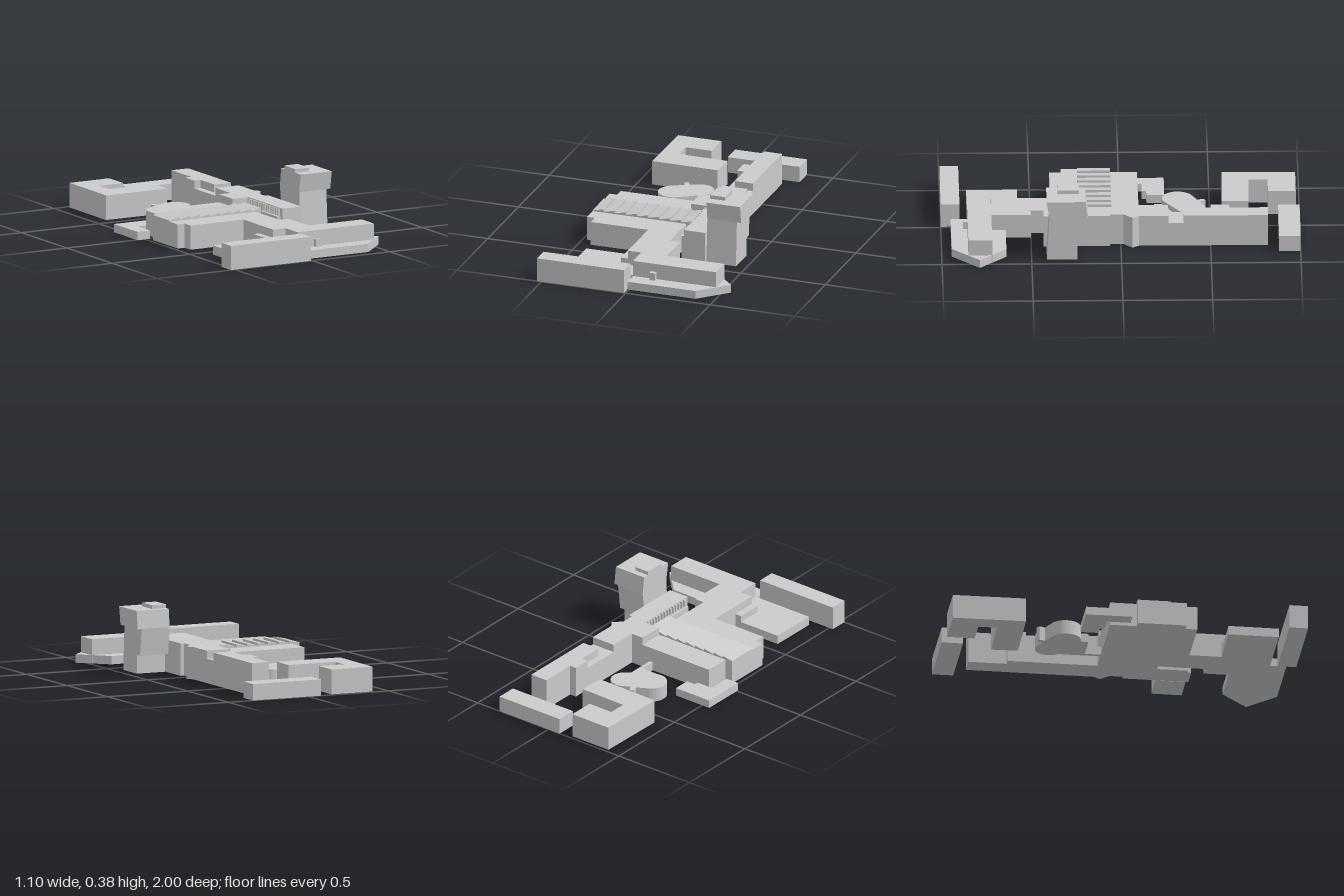
import * as THREE from 'three';

const material = new THREE.MeshStandardMaterial({ color: 0xcccccc, flatShading: true });

export function createModel() {
  const root = new THREE.Group();
  root.name = 'campus';

  function add(name, geometry) {
    const mesh = new THREE.Mesh(geometry, material);
    mesh.name = name;
    root.add(mesh);
    return mesh;
  }

  // Box given by its plan rectangle and vertical range
  function block(name, x0, x1, z0, z1, top, bottom = 0) {
    const g = new THREE.BoxGeometry(x1 - x0, top - bottom, z1 - z0);
    g.translate((x0 + x1) / 2, (top + bottom) / 2, (z0 + z1) / 2);
    return add(name, g);
  }

  // Vertical prism over a plan outline of [x, z] points
  function prism(name, plan, top, bottom = 0) {
    const shape = new THREE.Shape(plan.map(([x, z]) => new THREE.Vector2(x, -z)));
    const g = new THREE.ExtrudeGeometry(shape, { depth: top - bottom, bevelEnabled: false });
    g.rotateX(-Math.PI / 2).translate(0, bottom, 0);
    return add(name, g);
  }

  // Sideways prism from a [z, y] profile, running from x0 to x1
  function sideProfile(name, profile, x0, x1) {
    const shape = new THREE.Shape(profile.map(([z, y]) => new THREE.Vector2(-z, y)));
    const g = new THREE.ExtrudeGeometry(shape, { depth: x1 - x0, bevelEnabled: false });
    g.rotateY(Math.PI / 2).translate(x0, 0, 0);
    return add(name, g);
  }

  const H = 0.137; // common roof height
  const T = 0.182; // taller wing height
  const L = 0.047; // low annex height

  // Detached buildings at the back
  prism('courtyardBuilding', [
    [-0.41, -0.98], [-0.155, -0.98], [-0.155, -0.825], [-0.31, -0.825],
    [-0.31, -0.72], [-0.02, -0.715], [-0.025, -0.565], [-0.415, -0.57],
  ], 0.14);
  block('backBar', -0.08, 0.345, -1, -0.88, 0.092);

  // Long back wing with its lower link and side notch
  prism('backWing', [
    [0.155, -0.82], [0.262, -0.82], [0.262, -0.35], [0.155, -0.35],
    [0.155, -0.5], [0.115, -0.5], [0.115, -0.605], [0.155, -0.605],
  ], T);
  block('backWingStep', 0.115, 0.155, -0.5, -0.35, H);
  block('backWingLink', 0.115, 0.262, -0.35, -0.265, H);

  // Tall spine with a pointed bay on its left side
  prism('spine', [
    [0.115, -0.265], [0.262, -0.265], [0.262, -0.1], [0.288, -0.065], [0.24, -0.015],
    [0.24, 0.06], [0.262, 0.06], [0.262, 0.43], [0.14, 0.43], [0.14, 0.05],
    [0.04, 0.05], [0.04, -0.1], [0.115, -0.1],
  ], T);
  block('spineGallery', 0.115, 0.14, 0.05, 0.41, H);
  for (let i = 0; i < 14; i++) {
    const z = 0.065 + i * 0.025;
    block('spineFin', 0.128, 0.141, z, z + 0.012, T - 0.004, H);
  }

  // Main hall and the connector running forward
  prism('hall', [
    [-0.43, -0.1], [0.115, -0.1], [0.115, 0.235], [0.08, 0.235], [0.08, 0.5],
    [0.14, 0.5], [0.14, 0.72], [-0.09, 0.72], [-0.09, 0.39], [-0.43, 0.39],
    [-0.43, 0.325], [-0.475, 0.325], [-0.475, 0.05], [-0.43, 0.05],
  ], H);

  // Sawtooth roof: each tooth rises to the left and drops sharply
  const teeth = 9, pitch = 0.59 / teeth;
  for (let i = 0; i < teeth; i++) {
    const x = -0.475 + i * pitch;
    const shape = new THREE.Shape([
      new THREE.Vector2(x, H), new THREE.Vector2(x + pitch, H),
      new THREE.Vector2(x + pitch, 0.156), new THREE.Vector2(x, 0.143),
    ]);
    const g = new THREE.ExtrudeGeometry(shape, { depth: 0.185, bevelEnabled: false });
    add('roofTooth', g.translate(0, 0, 0.05));
  }

  // Tower: waisted shaft, wider head and roof cap
  sideProfile('towerShaft', [
    [0.415, 0], [0.245, 0], [0.245, 0.105], [0.207, 0.105], [0.187, 0.258], [0.4, 0.258],
  ], 0.265, 0.44);
  sideProfile('towerHead', [
    [0.4, 0.258], [0.187, 0.258], [0.2, 0.36], [0.417, 0.36],
  ], 0.265, 0.465);
  block('towerCap', 0.265, 0.353, 0.235, 0.355, 0.381, 0.36);

  // Front group: pointed podium, upper bar, low annex, street bar
  prism('podium', [
    [-0.01, 0.64], [0.4, 0.64], [0.548, 0.79], [0.392, 0.945], [-0.01, 0.945],
  ], L);
  block('podiumBar', -0.01, 0.482, 0.72, 0.853, H);
  block('podiumPorch', 0.095, 0.128, 0.853, 0.878, 0.09, L);
  block('lowAnnex', -0.39, -0.01, 0.57, 0.853, 0.052);
  block('annexStep', -0.13, -0.09, 0.57, 0.72, 0.09);
  block('streetBar', -0.525, -0.01, 0.895, 1, H);

  // Small angled building on the right
  prism('sideAnnex', [
    [-0.55, -0.25], [-0.315, -0.25], [-0.315, -0.15], [-0.37, -0.15],
    [-0.37, -0.125], [-0.47, -0.125], [-0.47, 0.01], [-0.55, 0.01],
  ], L);

  // Rounded auditorium: outline around two circles of different size
  const outline = [];
  const arc = (cx, cz, r, from, to) => {
    for (let i = 0; i <= 16; i++) {
      const a = THREE.MathUtils.degToRad(from + (to - from) * i / 16);
      outline.push([cx + r * Math.cos(a), cz + r * Math.sin(a)]);
    }
  };
  arc(-0.068, -0.395, 0.08, -122, 58);
  arc(-0.197, -0.322, 0.088, 58, 238);
  prism('auditorium', outline, 0.082);
  prism('auditoriumVent', [
    [-0.185, -0.465], [-0.168, -0.478], [-0.145, -0.445], [-0.15, -0.42], [-0.17, -0.42],
  ], 0.082);
  prism('auditoriumFoyer', [
    [-0.19, -0.235], [-0.01, -0.35], [-0.01, -0.1], [-0.032, -0.1],
    [-0.032, -0.19], [-0.19, -0.19],
  ], 0.05);

  return root;
}
